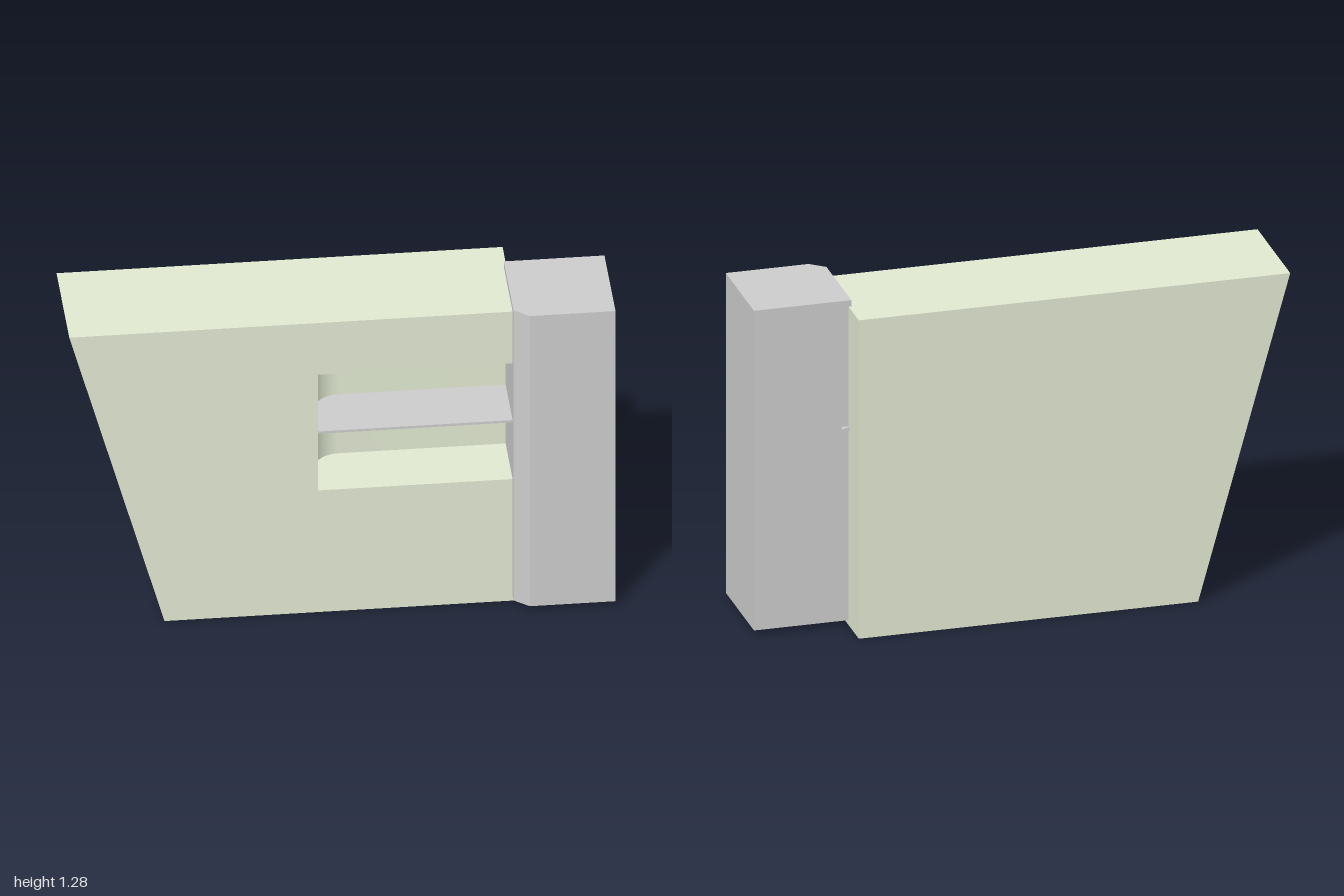
import * as THREE from 'three';
import { mergeGeometries, toCreasedNormals } from 'three/addons/utils/BufferGeometryUtils.js';

const FRONT = 0.18, BACK = -0.255;            // wall faces in z
const NICHE = { left: -0.085, right: 0.64, low: 0.53, high: 1.035, back: -0.06, r: 0.1 };

const shapeOf = (pts) => new THREE.Shape(pts.map(([x, y]) => new THREE.Vector2(x, y)));

// Ribbon of quads along a list of points; near and far place its two edges
function ribbon(pts, near, far) {
  const pos = [];
  for (let i = 0; i < pts.length - 1; i++) {
    const a = pts[i], b = pts[i + 1];
    pos.push(...near(a), ...far(a), ...far(b), ...near(a), ...far(b), ...near(b));
  }
  const g = new THREE.BufferGeometry();
  g.setAttribute('position', new THREE.Float32BufferAttribute(pos, 3));
  g.computeVertexNormals();
  return g;
}

function flat(pts) {
  const g = new THREE.ShapeGeometry(shapeOf(pts)).toNonIndexed();
  g.deleteAttribute('uv');
  return g;
}

// Plan line of the niche, from its right end round the curved corner to the front
function nichePlan() {
  const { left, right, back, r } = NICHE;
  const pts = [[right, back]];
  for (let i = 0; i <= 12; i++) {
    const t = (i / 12) * Math.PI / 2;
    pts.push([left + r - r * Math.sin(t), back + r - r * Math.cos(t)]);
  }
  pts.push([left, FRONT]);
  return pts;
}

export function createModel() {
  const group = new THREE.Group();
  const green = new THREE.MeshStandardMaterial({ color: 0xe0e8d0, side: THREE.DoubleSide });
  const grey = new THREE.MeshStandardMaterial({ color: 0xcccccc });
  const add = (name, geometry, material) => {
    const mesh = new THREE.Mesh(geometry, material);
    mesh.name = name;
    group.add(mesh);
    return mesh;
  };

  // Wall with a slanted end and a niche open towards the column
  const { left, right, low, high } = NICHE;
  const bottom = [[-0.65, 0], [right, 0]];
  const top = [[right, 1.26], [-1, 1.26]];
  const outline = [...bottom, ...top];
  const frontFace = flat([...bottom, [right, low], [left, low], [left, high], [right, high], ...top]);
  frontFace.translate(0, 0, FRONT);
  const backFace = flat(outline.map(([x, y]) => [-x, y]));
  backFace.rotateY(Math.PI).translate(0, 0, BACK);
  const edges = ribbon([...outline, outline[0]], ([x, y]) => [x, y, FRONT], ([x, y]) => [x, y, BACK]);
  add('wall', mergeGeometries([frontFace, backFace, edges]), green);

  // Niche lining: curved back, floor and ceiling
  const plan = nichePlan();
  const level = [...plan, [right, FRONT]];
  const flipped = level.map(([x, z]) => [x, -z]);
  const lining = toCreasedNormals(ribbon(plan, ([x, z]) => [x, low, z], ([x, z]) => [x, high, z]), 0.5);
  const floor = flat(flipped).rotateX(-Math.PI / 2).translate(0, low, 0);
  const ceiling = flat(level).rotateX(Math.PI / 2).translate(0, high, 0);
  add('niche', mergeGeometries([lining, floor, ceiling]), green);

  // Thin shelf following the niche plan
  const shelf = new THREE.ExtrudeGeometry(shapeOf(flipped), { depth: 0.01, bevelEnabled: false });
  shelf.rotateX(-Math.PI / 2).translate(0, 0.777, 0);
  add('shelf', toCreasedNormals(shelf, 0.5), grey);

  // Strips at the back, under the shelf and under the niche ceiling
  for (const [name, y0, y1] of [['shelfStrip', 0.752, 0.777], ['ceilingStrip', 1.021, 1.035]]) {
    add(name, new THREE.BoxGeometry(0.68, y1 - y0, 0.03), grey)
      .position.set(0.3, (y0 + y1) / 2, -0.028);
  }

  // Column with one chamfered front edge
  const column = new THREE.ExtrudeGeometry(
    shapeOf([[0.63, 0.12], [0.63, -0.21], [0.685, -0.255], [1, -0.255], [1, 0.12]]),
    { depth: 1.265, bevelEnabled: false });
  column.rotateX(-Math.PI / 2).translate(0, 0.02, 0);
  add('column', column, grey);

  // Small oval peg on the back of the column
  const peg = new THREE.CylinderGeometry(0.015, 0.015, 0.035, 16).rotateX(Math.PI / 2).scale(1, 0.35, 1);
  add('peg', peg, grey).position.set(0.653, 0.782, -0.118);

  return group;
}
